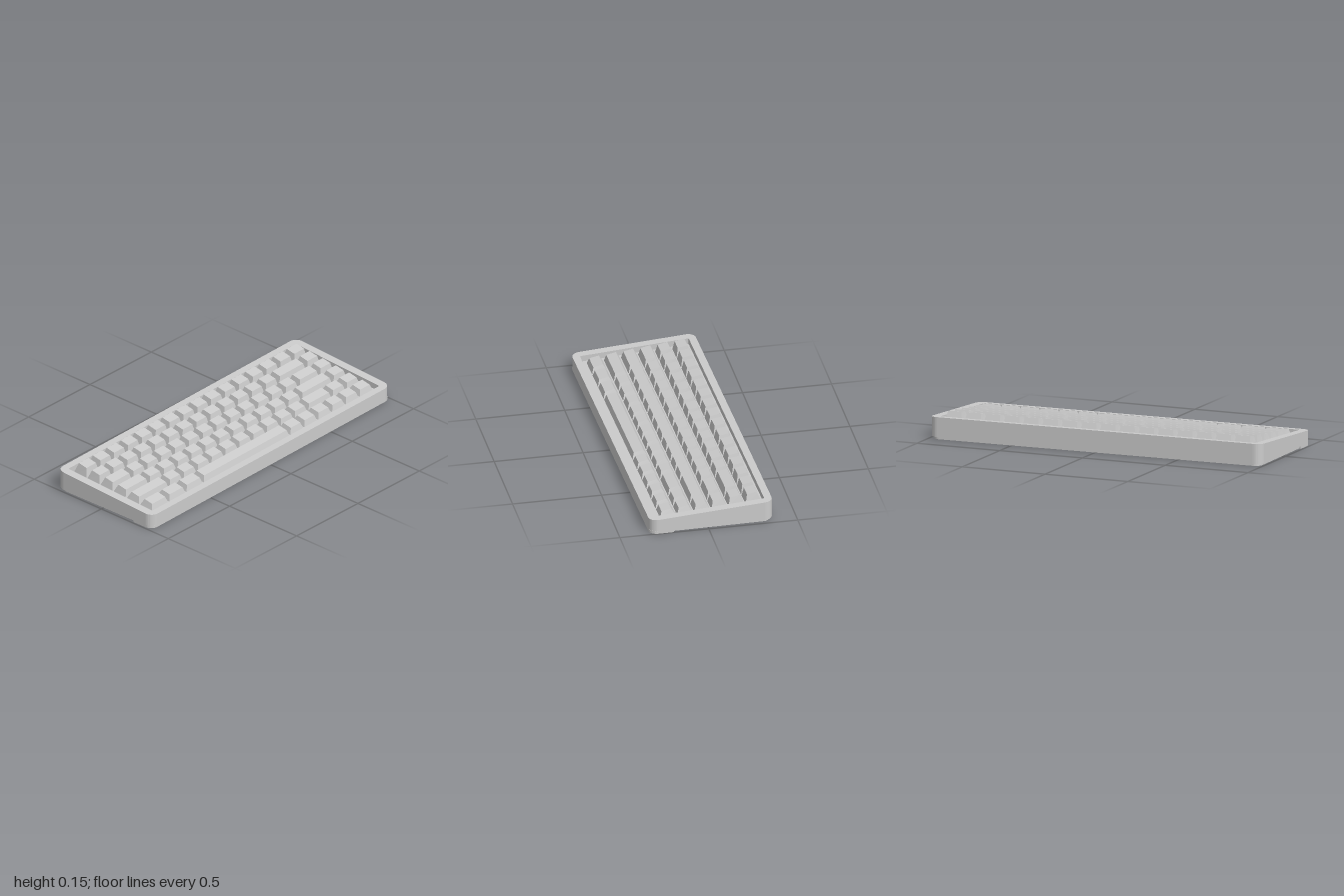
import * as THREE from 'three';

const material = new THREE.MeshStandardMaterial({ color: 0xcccccc });
const HX = 0.348, HZ = 0.994;          // half depth and half length of the case
const rimY = (x) => 0.105 - 0.0633 * x; // sloping top of the case
const deckY = (x) => rimY(x) - 0.035;

function part(name, geometry) {
  const mesh = new THREE.Mesh(geometry, material);
  mesh.name = name;
  return mesh;
}

// Plan outline with separate corner radii at the back (-x) and front (+x)
function outline(x0, x1, hz, rBack, rFront, Type = THREE.Shape) {
  const s = new Type();
  s.moveTo(x0, -hz + rBack);
  if (rBack) s.absarc(x0 + rBack, -hz + rBack, rBack, Math.PI, Math.PI * 1.5);
  else s.lineTo(x0, -hz);
  if (rFront) s.absarc(x1 - rFront, -hz + rFront, rFront, -Math.PI / 2, 0);
  else s.lineTo(x1, -hz);
  if (rFront) s.absarc(x1 - rFront, hz - rFront, rFront, 0, Math.PI / 2);
  else s.lineTo(x1, hz);
  if (rBack) s.absarc(x0 + rBack, hz - rBack, rBack, Math.PI / 2, Math.PI);
  else s.lineTo(x0, hz);
  s.closePath();
  return s;
}

function slab(shape, y0, y1) {
  const g = new THREE.ExtrudeGeometry(shape, { depth: y1 - y0, bevelEnabled: false, curveSegments: 4 });
  return g.rotateX(-Math.PI / 2).translate(0, y0, 0);
}

// Move every vertex with a rule (v is changed in place), then refresh the normals
function reshape(g, rule) {
  const p = g.attributes.position, v = new THREE.Vector3();
  for (let i = 0; i < p.count; i++) {
    rule(v.fromBufferAttribute(p, i));
    p.setXYZ(i, v.x, v.y, v.z);
  }
  g.computeVertexNormals();
  return g;
}

// Keycap: leaning back face, steep front face, top falling towards the front
function keycap(x, z, length, backY) {
  const base = { back: -0.045, front: 0.045, hz: length / 2 - 0.005 };
  const top = { back: -0.020, front: 0.035, hz: length / 2 - 0.018 };
  return reshape(new THREE.BoxGeometry(1, 1, 1), (v) => {
    const isTop = v.y > 0, isFront = v.x > 0, ring = isTop ? top : base;
    v.x = x + (isFront ? ring.front : ring.back);
    v.y = isTop ? backY - (isFront ? 0.011 : 0) : deckY(v.x) + 0.004;
    v.z = z + Math.sign(v.z) * ring.hz;
  });
}

export function createModel() {
  const model = new THREE.Group();
  model.name = 'keyboard';
  const body = new THREE.Group();
  body.name = 'case';
  const keys = new THREE.Group();
  keys.name = 'keys';
  model.add(body, keys);

  // Frame with a sloping rim around the key well
  const frame = outline(-HX, HX, HZ, 0.048, 0.048);
  frame.holes.push(outline(-0.307, 0.307, 0.945, 0.008, 0.008, THREE.Path));
  body.add(part('frame', reshape(slab(frame, 0.015, 1), (v) => {
    if (v.y > 0.5) v.y = rimY(v.x);
  })));

  // Sloping deck under the keys
  body.add(part('deck', reshape(new THREE.BoxGeometry(0.62, 0.01, 1.9), (v) => {
    v.y += deckY(v.x) - 0.005;
  })));

  // Underside: recessed floor, raised skirt and a long pad
  body.add(part('floor', slab(outline(-0.34, 0.34, 0.985, 0.04, 0.04), 0.012, 0.02)));
  const skirt = outline(-0.335, 0.335, 0.981, 0.04, 0.04);
  skirt.holes.push(outline(-0.322, 0.302, 0.965, 0.03, 0.01, THREE.Path));
  body.add(part('skirt', slab(skirt, 0.0005, 0.016)));
  const pad = new THREE.BoxGeometry(0.135, 0.007, 0.97);
  body.add(part('bottomPad', pad.translate(-0.157, 0.0105, 0.02)));

  // Front of the case reaches the ground, with short returns at both ends
  body.add(part('frontFoot', slab(outline(0.3, HX, HZ, 0, 0.046), 0, 0.016)));
  for (const side of [-1, 1]) {
    const end = new THREE.BoxGeometry(0.09, 0.016, 0.028);
    body.add(part('footReturn', end.translate(0.258, 0.008, side * (HZ - 0.014))));
  }

  // Key rows from back to front; widths in key units, starting at the -z end
  const ones = (n) => Array(n).fill(1);
  const rows = [
    ones(16),
    [1, 2, ...ones(13)],
    [1, 1.5, ...ones(12), 1.5],
    [1, 2.25, ...ones(11), 1.75],
    [1, 1, 1.75, ...ones(10), 2.25],
    [...ones(6), 6.25, 1.25, 1.25, 1.25],
  ];
  const unit = 0.1153;
  rows.forEach((widths, row) => {
    let z = -8 * unit - 0.007;
    for (const w of widths) {
      const length = w * unit;
      keys.add(part('key', keycap(-0.252 + 0.0965 * row, z + length / 2, length, 0.153 - 0.0098 * row)));
      z += length;
    }
  });

  // The whole board sits slightly turned
  model.rotation.y = 0.018;
  return model;
}
